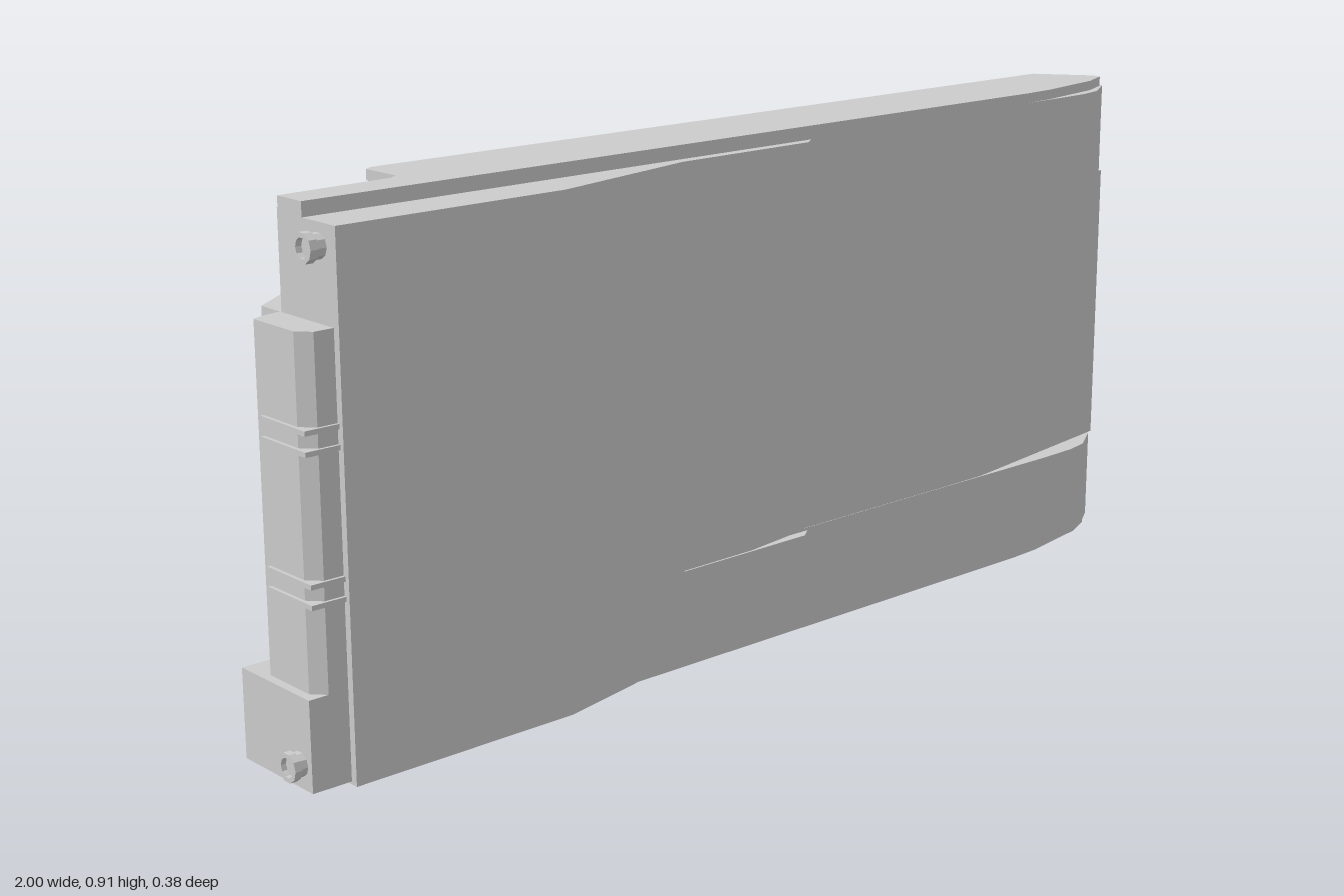
import * as THREE from 'three';

const material = new THREE.MeshStandardMaterial({ color: 0xcccccc, flatShading: true, side: THREE.DoubleSide });

// Extrude an (x, z) outline along y, from y0 to y1
function slab(name, points, y0, y1) {
  const shape = new THREE.Shape(points.map(([x, z]) => new THREE.Vector2(x, z)));
  const geo = new THREE.ExtrudeGeometry(shape, { depth: y1 - y0, bevelEnabled: false });
  geo.rotateX(Math.PI / 2).translate(0, y1, 0);
  const mesh = new THREE.Mesh(geo, material);
  mesh.name = name;
  return mesh;
}

// Box given by its limits
function block(name, x0, x1, y0, y1, z0, z1) {
  const geo = new THREE.BoxGeometry(x1 - x0, y1 - y0, z1 - z0);
  geo.translate((x0 + x1) / 2, (y0 + y1) / 2, (z0 + z1) / 2);
  const mesh = new THREE.Mesh(geo, material);
  mesh.name = name;
  return mesh;
}

// Short pipe along x with a narrower hollow tip
function pipe(name, x0, x1, y, z) {
  const group = new THREE.Group();
  group.name = name;
  const len = x1 - x0;
  const profile = [[0, 0], [0.02, 0], [0.02, len * 0.6], [0.024, len * 0.6], [0.024, len], [0.016, len], [0.016, len * 0.7], [0, len * 0.7]]
    .map(([r, h]) => new THREE.Vector2(r, h));
  const mesh = new THREE.Mesh(new THREE.LatheGeometry(profile, 10), material);
  mesh.rotation.z = Math.PI / 2;
  mesh.position.set(x1, y, z);
  group.add(mesh);
  return group;
}

export function createModel() {
  const model = new THREE.Group();
  model.name = 'armouredHull';

  // Central tub with belly, sloped ends and pointed nose, slightly narrower at the front
  const tub = slab('tub', [
    [-0.905, -0.02], [-0.67, -0.19], [0.6, -0.19], [0.915, -0.07], [0.995, 0.045],
    [0.6, 0.099], [0.13, 0.099], [-0.02, 0.118], [-0.18, 0.118], [-0.905, 0.118],
  ], 0.18, 0.738);
  const p = tub.geometry.attributes.position;
  for (let i = 0; i < p.count; i++) {
    const t = THREE.MathUtils.clamp((p.getX(i) + 0.67) / 1.6, 0, 1) * 0.011;
    p.setY(i, p.getY(i) + (p.getY(i) < 0.45 ? t : -t));
  }
  tub.geometry.computeVertexNormals();
  model.add(tub);

  // Raised engine deck across the rear
  model.add(slab('engineDeck', [
    [-0.905, 0.035], [-0.18, 0.035], [-0.18, 0.12], [-0.48, 0.185], [-0.905, 0.185],
  ], 0.025, 0.89));

  const sides = [
    { name: 'lower', skirt: [0, 0.018], fender: [0.018, 0.188], deck: [0.025, 0.183] },
    { name: 'upper', skirt: [0.896, 0.914], fender: [0.727, 0.896], deck: [0.732, 0.89] },
  ];
  for (const s of sides) {
    // Track guard with rounded front and hanging flap
    model.add(slab(s.name + 'Fender', [
      [-0.905, 0.035], [-0.68, 0.035], [0.7, 0.035], [0.88, 0.035], [0.965, 0.01], [0.978, 0.003],
      [0.988, 0.005], [0.988, 0.045], [0.92, 0.087], [0.87, 0.097], [0.79, 0.1], [-0.905, 0.1],
    ], ...s.fender));
    // Side skirt, cut away at the rear
    model.add(slab(s.name + 'Skirt', [
      [-0.905, 0.037], [-0.7, 0.03], [-0.68, 0.02], [-0.68, -0.06], [-0.665, -0.07], [0.915, -0.07],
      [0.982, 0.025], [0.98, 0.045], [0.92, 0.07], [0.77, 0.096], [0.7, 0.1], [-0.905, 0.1],
    ], ...s.skirt));
    // Flat shoulder ending in a small step
    model.add(slab(s.name + 'Shoulder', [
      [-0.18, 0.095], [0.14, 0.095], [0.11, 0.118], [-0.18, 0.12],
    ], ...s.deck));
  }

  // Rear plate with chamfered edge
  model.add(slab('rearPlate', [
    [-0.9, 0.03], [-0.935, 0.035], [-0.96, 0.045], [-0.96, 0.15], [-0.94, 0.172], [-0.9, 0.172],
  ], 0.18, 0.738));
  for (const y of [0.34, 0.575]) {
    for (const d of [-0.016, 0.016]) {
      model.add(block('rearBracket', -0.966, -0.9, y + d - 0.004, y + d + 0.004, 0.06, 0.177));
    }
  }

  // Corner box and pipes at the rear
  model.add(block('cornerBox', -0.975, -0.9, 0.03, 0.18, -0.012, 0.172));
  model.add(pipe('lowerPipe', -1, -0.97, 0.07, 0.142));
  model.add(pipe('upperPipe', -0.935, -0.9, 0.855, 0.142));

  return model;
}
